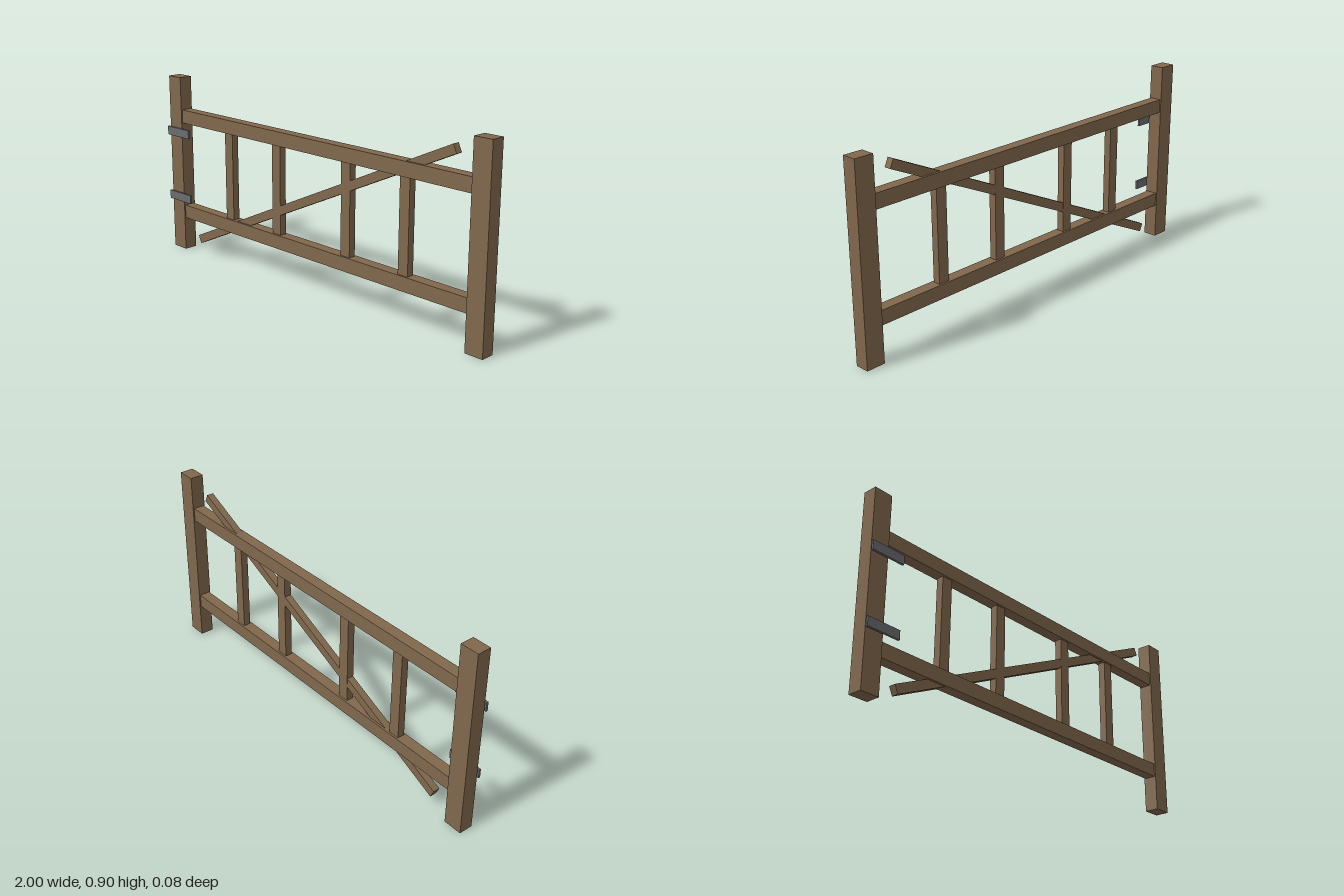
import * as THREE from 'three';

export function createModel() {
  const gate = new THREE.Group();
  gate.name = 'gate';

  const wood = new THREE.MeshStandardMaterial({ color: 0x80674c });
  wood.name = 'brown wood';
  const iron = new THREE.MeshStandardMaterial({ color: 0x6a6c6e });
  iron.name = 'grey iron';

  const Z = -0.007; // middle plane of the timber

  function beam(name, material, [w, h, d], [x, y, z]) {
    const mesh = new THREE.Mesh(new THREE.BoxGeometry(w, h, d), material);
    mesh.name = name;
    mesh.position.set(x, y, z);
    gate.add(mesh);
    return mesh;
  }

  // Posts at both ends
  beam('rightPost', wood, [0.09, 0.897, 0.067], [-0.952, 0.4485, Z]);
  beam('leftPost', wood, [0.09, 0.897, 0.067], [0.955, 0.4485, Z]);

  // Horizontal rails between the posts
  beam('lowerRail', wood, [1.84, 0.067, 0.054], [0.001, 0.202, Z]);
  beam('upperRail', wood, [1.84, 0.067, 0.054], [0.001, 0.7, Z]);

  // Upright bars between the rails
  [-0.56, -0.223, 0.223, 0.56].forEach((x, i) => {
    beam(`uprightBar${i + 1}`, wood, [0.054, 0.46, 0.035], [x, 0.451, Z]);
  });

  // Diagonal brace, running past both rails
  const brace = beam('diagonalBrace', wood, [1.785, 0.042, 0.033], [0.001, 0.449, Z]);
  brace.rotation.z = Math.atan2(0.754, 1.618);

  // Hinge straps in front of the right post
  beam('lowerHinge', iron, [0.165, 0.043, 0.01], [-0.9175, 0.282, 0.038]);
  beam('upperHinge', iron, [0.165, 0.043, 0.01], [-0.9175, 0.619, 0.038]);

  return gate;
}
